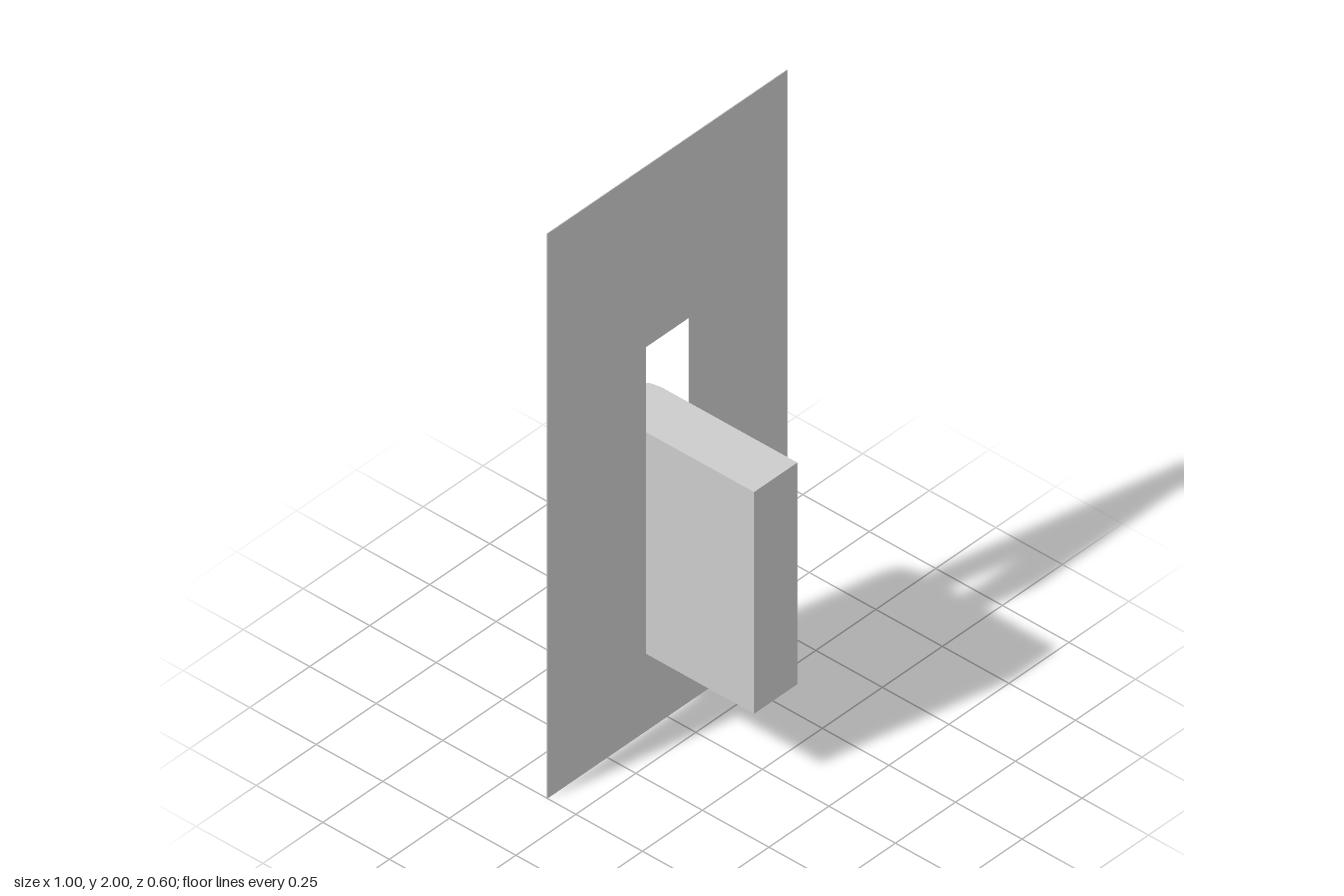
import * as THREE from 'three';
import { toCreasedNormals } from 'three/addons/utils/BufferGeometryUtils.js';

const HALF = 0.09; // half width of slot and lever
const LOW = 0.275; // bottom of slot and lever

export function createModel() {
  const model = new THREE.Group();
  const material = new THREE.MeshStandardMaterial({ color: 0xcccccc });
  const add = (name, geometry) => {
    const mesh = new THREE.Mesh(geometry, material);
    mesh.name = name;
    model.add(mesh);
  };

  // Thin wall plate with a tall slot
  const plate = new THREE.Shape([[-0.5, 0], [0.5, 0], [0.5, 2], [-0.5, 2]].map(p => new THREE.Vector2(...p)));
  plate.holes.push(new THREE.Path(
    [[-HALF, LOW], [-HALF, 1.36], [HALF, 1.36], [HALF, LOW]].map(p => new THREE.Vector2(...p))));
  const thickness = 0.003;
  add('slottedPlate', new THREE.ExtrudeGeometry(plate, { depth: thickness, bevelEnabled: false })
    .translate(0, 0, -0.108 - thickness / 2));

  // Block through the slot: square at the front, half round at the back
  const outline = new THREE.Shape();
  outline.moveTo(-HALF, -0.3);
  outline.lineTo(HALF, -0.3);
  outline.lineTo(HALF, 0.21);
  outline.absarc(0, 0.21, HALF, 0, Math.PI, false);
  outline.closePath();
  const block = new THREE.ExtrudeGeometry(outline, { depth: 1.06 - LOW, bevelEnabled: false, curveSegments: 4 })
    .rotateX(-Math.PI / 2)
    .translate(0, LOW, 0);
  add('slidingBlock', toCreasedNormals(block, Math.PI / 6));

  return model;
}
